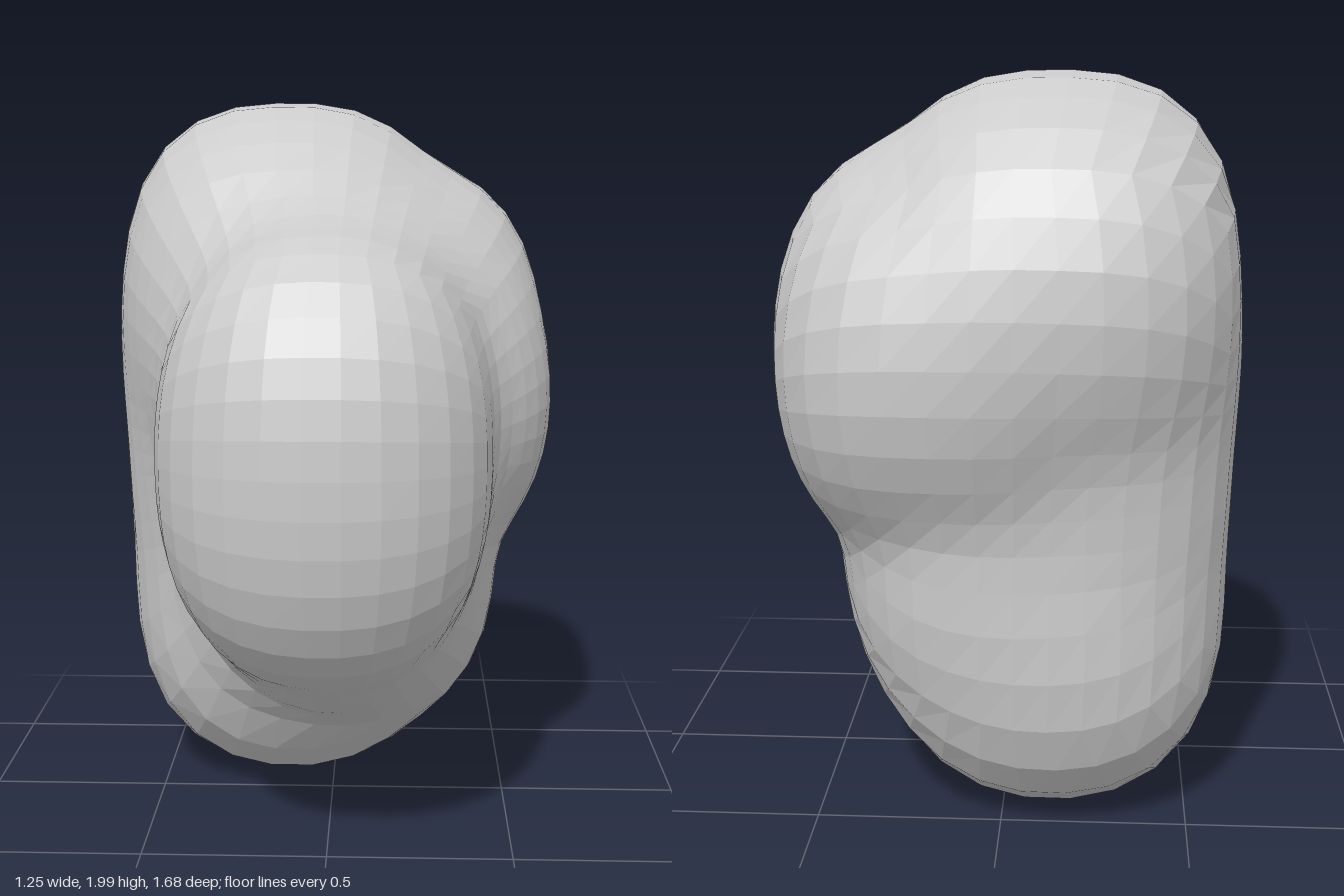
import * as THREE from 'three';
import { mergeVertices } from 'three/addons/utils/BufferGeometryUtils.js';

// Overlapping lobes: centre x, y, z, radius x, y, z, then boxiness
// across x and in the side profile (2 is an ellipse, more is boxier)
const LOBES = [
  [-0.14, 1.44, -0.26, 0.47, 0.555, 0.56, 2.6, 2],     // crown
  [-0.14, 1.00, -0.25, 0.47, 0.70, 0.44, 2.5, 2.2],    // column joining crown and foot
  [-0.13, 0.49, -0.25, 0.46, 0.49, 0.44, 2.2, 2.15],   // foot
  [-0.01, 1.07, 0.38, 0.44, 0.60, 0.455, 2.3, 2.35],   // front bulge
  [-0.01, 1.21, 0.10, 0.44, 0.52, 0.36, 2.1, 2],       // saddle between crown and front bulge
  [0.01, 0.73, 0.15, 0.37, 0.42, 0.40, 2, 2],          // underside of the front bulge
  [0.16, 1.27, -0.28, 0.44, 0.55, 0.55, 2.5, 2],       // left back bulge
  [0.22, 1.14, -0.06, 0.385, 0.45, 0.38, 2.1, 2],      // left flank
  [0.12, 0.64, -0.03, 0.33, 0.41, 0.34, 2.1, 2],       // lower left flank
  [0.07, 0.67, -0.24, 0.36, 0.46, 0.43, 2.1, 2],       // lower left back
];
const BLEND = 0.04;
const CORE = new THREE.Vector3(0, 1.05, 0.03);

// Softly blended distance to the lobes, negative inside
function field(p) {
  let sum = 0;
  for (const [cx, cy, cz, rx, ry, rz, e, s] of LOBES) {
    const side = Math.abs((p.y - cy) / ry) ** s + Math.abs((p.z - cz) / rz) ** s;
    const q = (Math.abs((p.x - cx) / rx) ** e + side ** (e / s)) ** (1 / e);
    sum += Math.exp(((1 - q) * Math.min(rx, ry, rz)) / BLEND);
  }
  return -BLEND * Math.log(sum);
}

// Outermost surface point along a direction from the core
function surfacePoint(dir) {
  const p = new THREE.Vector3();
  const at = (t) => field(p.copy(CORE).addScaledVector(dir, t));
  let lo = 1.5;
  while (lo > 0.05 && at(lo) > 0) lo -= 0.02;
  let hi = lo + 0.02;
  for (let i = 0; i < 12; i++) {
    const mid = (lo + hi) / 2;
    if (at(mid) > 0) hi = mid; else lo = mid;
  }
  at(lo);
  return p;
}

export function createModel() {
  const group = new THREE.Group();
  group.name = 'lumpyRock';

  // Welded cube grid pushed out onto the blended lobes
  let geo = new THREE.BoxGeometry(2, 2, 2, 13, 13, 13);
  geo.deleteAttribute('uv');
  geo.deleteAttribute('normal');
  geo = mergeVertices(geo);
  const pos = geo.attributes.position;
  const dir = new THREE.Vector3();
  for (let i = 0; i < pos.count; i++) {
    dir.fromBufferAttribute(pos, i);
    // Even out the grid spacing before projecting
    dir.set(...dir.toArray().map((v) => Math.tan((v * Math.PI) / 4))).normalize();
    const p = surfacePoint(dir);
    pos.setXYZ(i, p.x, p.y, p.z);
  }
  geo.computeVertexNormals();

  const rock = new THREE.Mesh(
    geo,
    new THREE.MeshStandardMaterial({ color: 0xcccccc, flatShading: true })
  );
  rock.name = 'rockBody';
  group.add(rock);
  return group;
}
